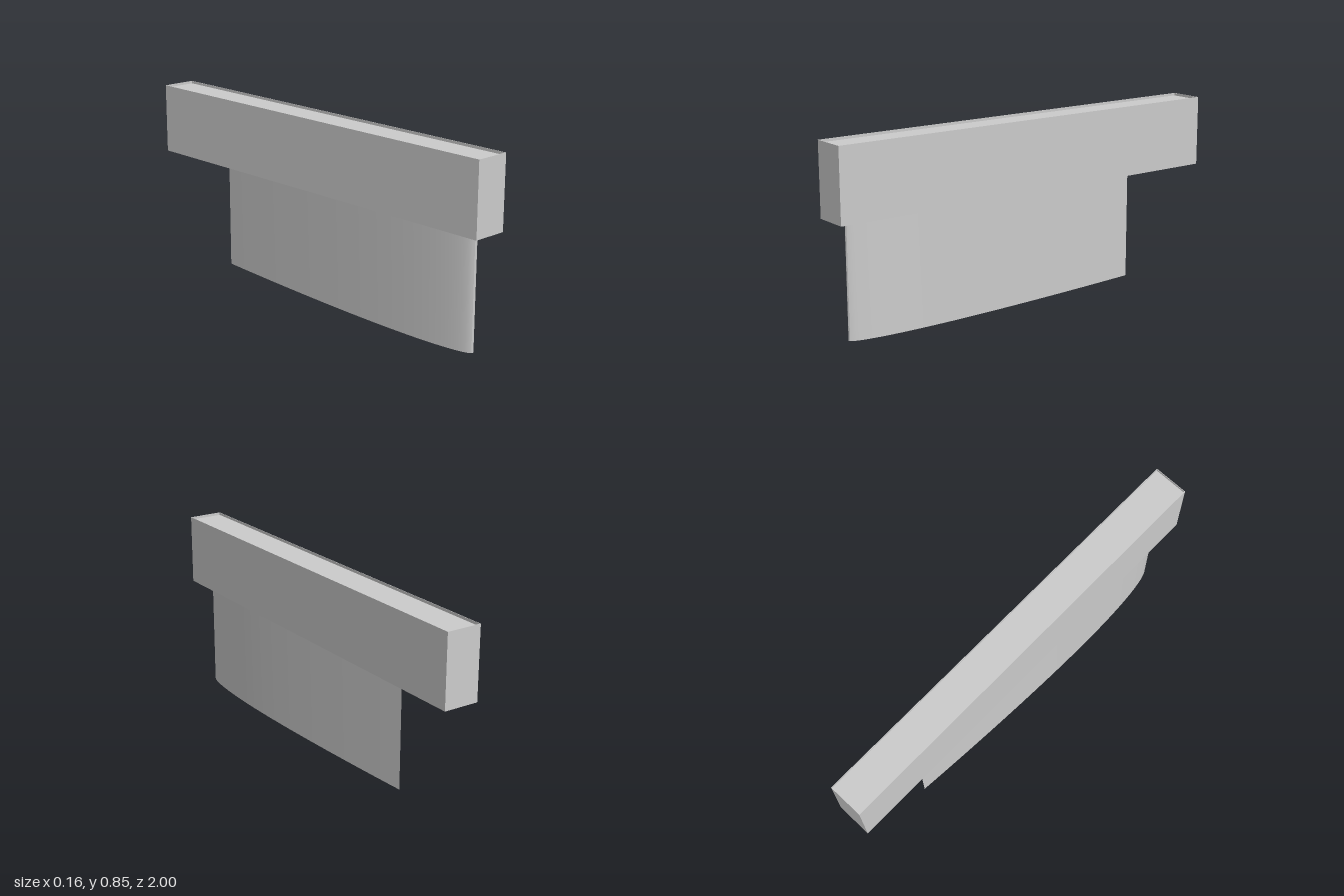
import * as THREE from 'three';
import { toCreasedNormals } from 'three/addons/utils/BufferGeometryUtils.js';

const FIN_TOP = 0.52, TOP = 0.85;
const WIDTH = 0.164, LENGTH = 2;
const RIM = 0.002, RECESS = 0.012;

// Extrudes a plan outline (x, -z) upward from y0 to y1
function extrudeUp(shape, y0, y1) {
  const geo = new THREE.ExtrudeGeometry(shape, { depth: y1 - y0, bevelEnabled: false });
  geo.rotateX(-Math.PI / 2);
  geo.translate(0, y0, 0);
  return geo;
}

function rectangle(PathType, w, l) {
  return new PathType([[-1, -1], [1, -1], [1, 1], [-1, 1]]
    .map(([x, y]) => new THREE.Vector2(x * w / 2, y * l / 2)));
}

// Symmetric foil: rounded leading edge at +z, sharp trailing edge at -z
function foilShape(lead, trail, thickness, steps) {
  const chord = lead - trail;
  const side = [];
  for (let i = 0; i <= steps; i++) {
    const t = (1 - Math.cos(Math.PI * i / steps)) / 2;
    const half = i === steps ? 0 : thickness * 5 *
      (0.2969 * Math.sqrt(t) - 0.126 * t - 0.3516 * t ** 2 + 0.2843 * t ** 3 - 0.1036 * t ** 4);
    side.push(new THREE.Vector2(half, -(lead - chord * t)));
  }
  const mirrored = side.slice(1, -1).reverse().map(p => new THREE.Vector2(-p.x, p.y));
  return new THREE.Shape([...side, ...mirrored]);
}

export function createModel() {
  const group = new THREE.Group();
  const material = new THREE.MeshStandardMaterial({ color: 0xcccccc });
  const add = (name, geo) => {
    const mesh = new THREE.Mesh(geo, material);
    mesh.name = name;
    group.add(mesh);
  };

  // Foil-section fin
  add('fin', toCreasedNormals(extrudeUp(foilShape(0.935, -0.62, 0.104, 36), 0, FIN_TOP), 0.5));

  // Long mounting block
  const lid = TOP - RECESS;
  add('mountingBlock', extrudeUp(rectangle(THREE.Shape, WIDTH, LENGTH), FIN_TOP, lid));

  // Thin raised rim around the top of the block
  const rim = rectangle(THREE.Shape, WIDTH, LENGTH);
  rim.holes.push(rectangle(THREE.Path, WIDTH - 2 * RIM, LENGTH - 2 * RIM));
  add('topRim', extrudeUp(rim, lid, TOP));

  return group;
}
